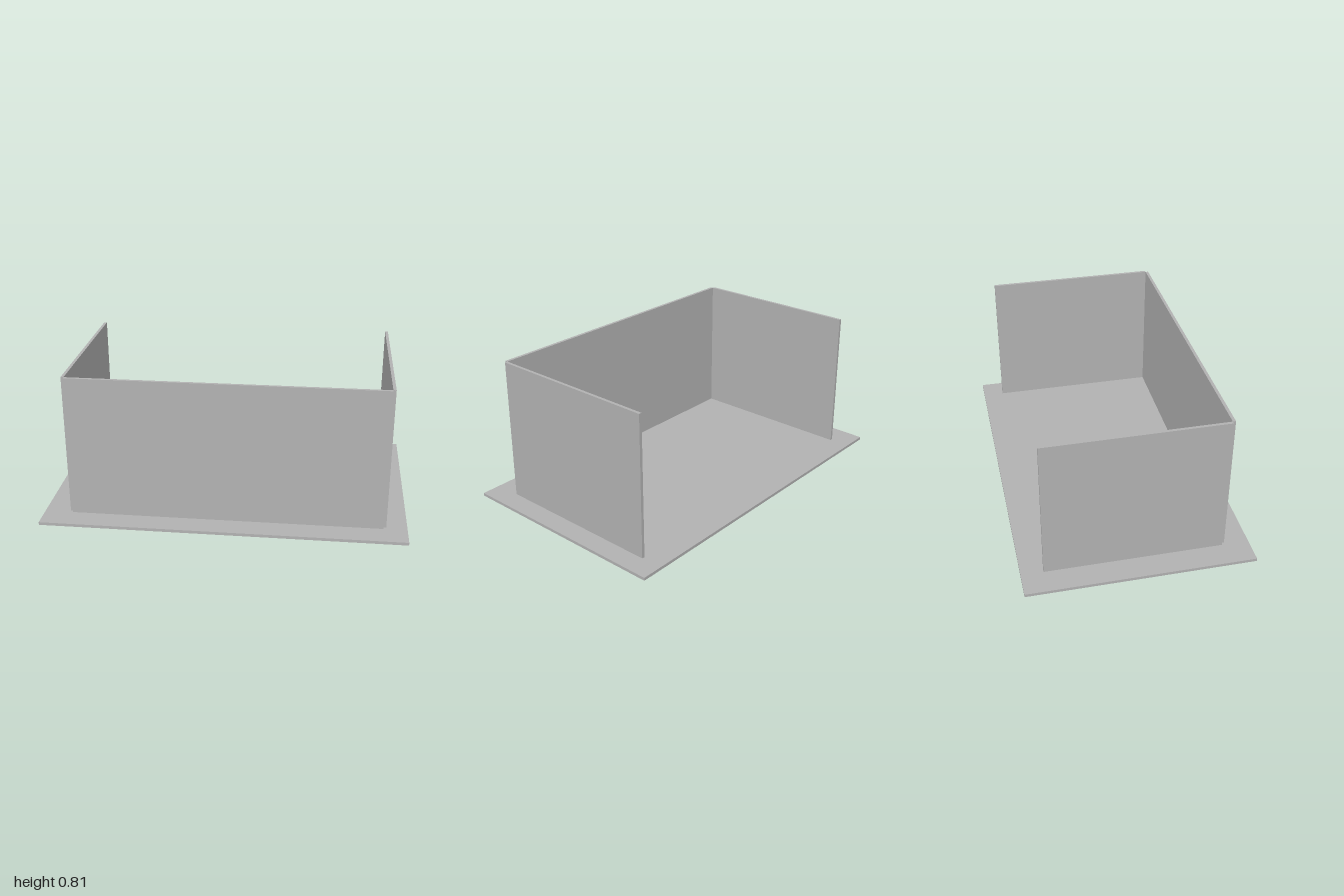
import * as THREE from 'three';

export function createModel() {
  const model = new THREE.Group();
  model.name = 'threeSidedEnclosure';
  const grey = new THREE.MeshStandardMaterial({ color: 0xb2b2b2 });
  grey.name = 'plain grey';

  // Adds a board spanning the given ranges on each axis
  function addBoard(name, [x0, x1], [y0, y1], [z0, z1]) {
    const board = new THREE.Mesh(new THREE.BoxGeometry(x1 - x0, y1 - y0, z1 - z0), grey);
    board.position.set((x0 + x1) / 2, (y0 + y1) / 2, (z0 + z1) / 2);
    board.name = name;
    model.add(board);
  }

  const thickness = 0.0165;
  const wallHeight = [thickness, 0.814];
  const sideDepth = [-0.499, 0.471];
  const rightInner = -0.843, leftInner = 0.87;

  // Floor plate
  addBoard('basePlate', [-1, 1], [0, thickness], [-0.619, 0.619]);

  // Front wall sits just ahead of the two side walls; the back is open
  addBoard('frontWall', [rightInner, leftInner], wallHeight, [sideDepth[1], sideDepth[1] + thickness]);
  addBoard('rightWall', [rightInner - thickness, rightInner], wallHeight, sideDepth);
  addBoard('leftWall', [leftInner, leftInner + thickness], wallHeight, sideDepth);

  return model;
}
